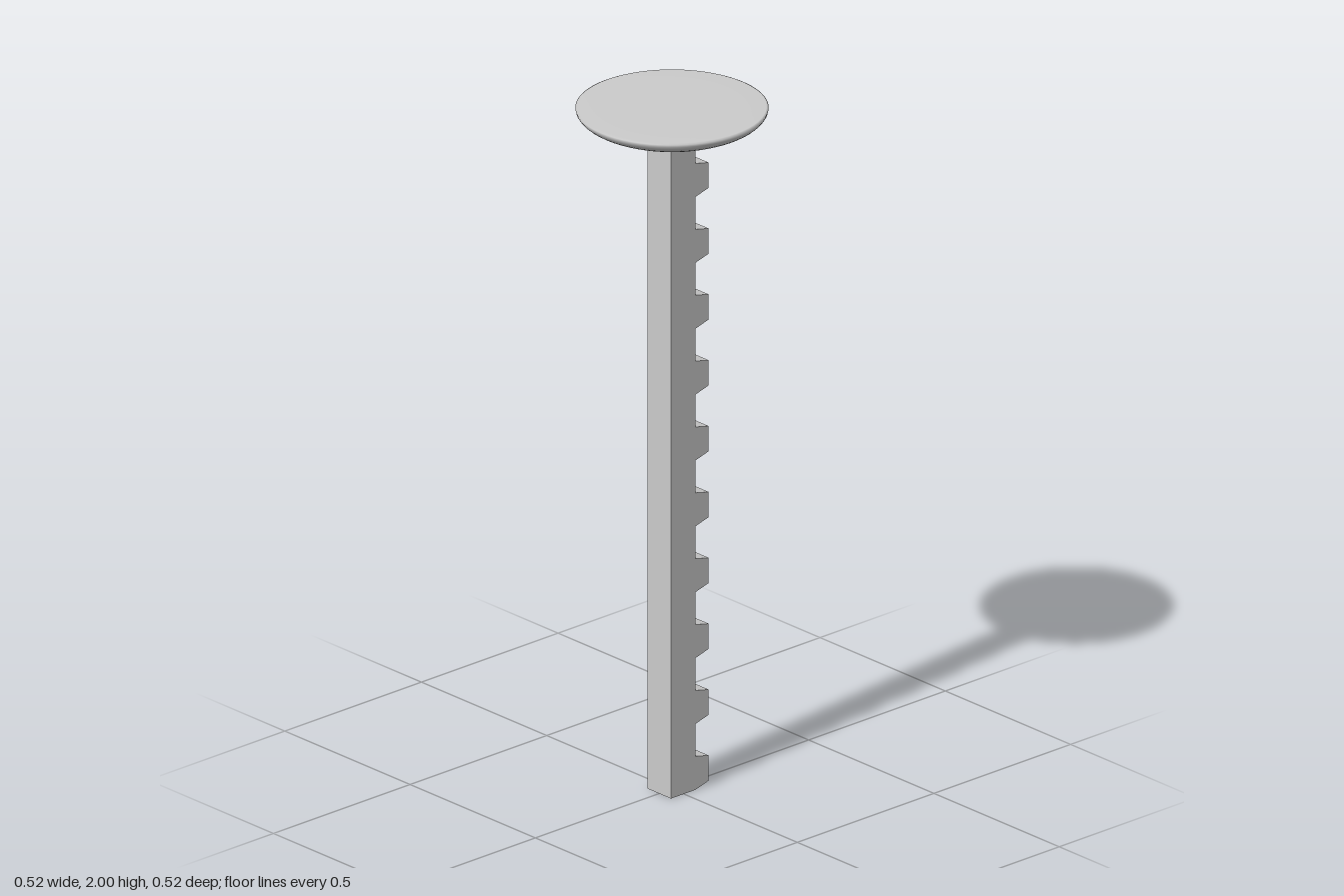
import * as THREE from 'three';

export function createModel() {
  const group = new THREE.Group();
  const material = new THREE.MeshStandardMaterial({ color: 0xcccccc });

  // Toothed bar: side outline with ten tapered teeth on the +x edge
  const back = -0.047, root = 0.043, tip = 0.091, half = 0.047;
  const pitch = 0.193, tooth = 0.098, top = 1.95;
  const outline = new THREE.Shape();
  outline.moveTo(back, 0);
  for (let i = 0; i < 10; i++) {
    const y = i * pitch;
    outline.lineTo(root, y);
    outline.lineTo(tip, y + 0.013);
    outline.lineTo(tip, y + tooth - 0.011);
    outline.lineTo(root, y + tooth);
  }
  outline.lineTo(root, top);
  outline.lineTo(back, top);
  outline.closePath();
  const barGeometry = new THREE.ExtrudeGeometry(outline, { depth: half * 2, bevelEnabled: false });
  barGeometry.translate(0, 0, -half);
  const bar = new THREE.Mesh(barGeometry, material);
  bar.name = 'toothedBar';
  group.add(bar);

  // Round head: shallow bowl underneath, closed by a flat top with a softened rim
  const radius = 0.261, depth = 0.07, rimY = 1.997;
  const profile = [];
  for (let i = 0; i <= 14; i++) {
    const a = (i / 14) * Math.PI / 2;
    profile.push(new THREE.Vector2(radius * Math.sin(a), rimY - depth * Math.cos(a)));
  }
  profile.push(new THREE.Vector2(radius - 0.006, 2), new THREE.Vector2(0.18, 2), new THREE.Vector2(0, 2));
  const head = new THREE.Mesh(new THREE.LatheGeometry(profile, 64), material);
  head.name = 'head';
  group.add(head);

  return group;
}
